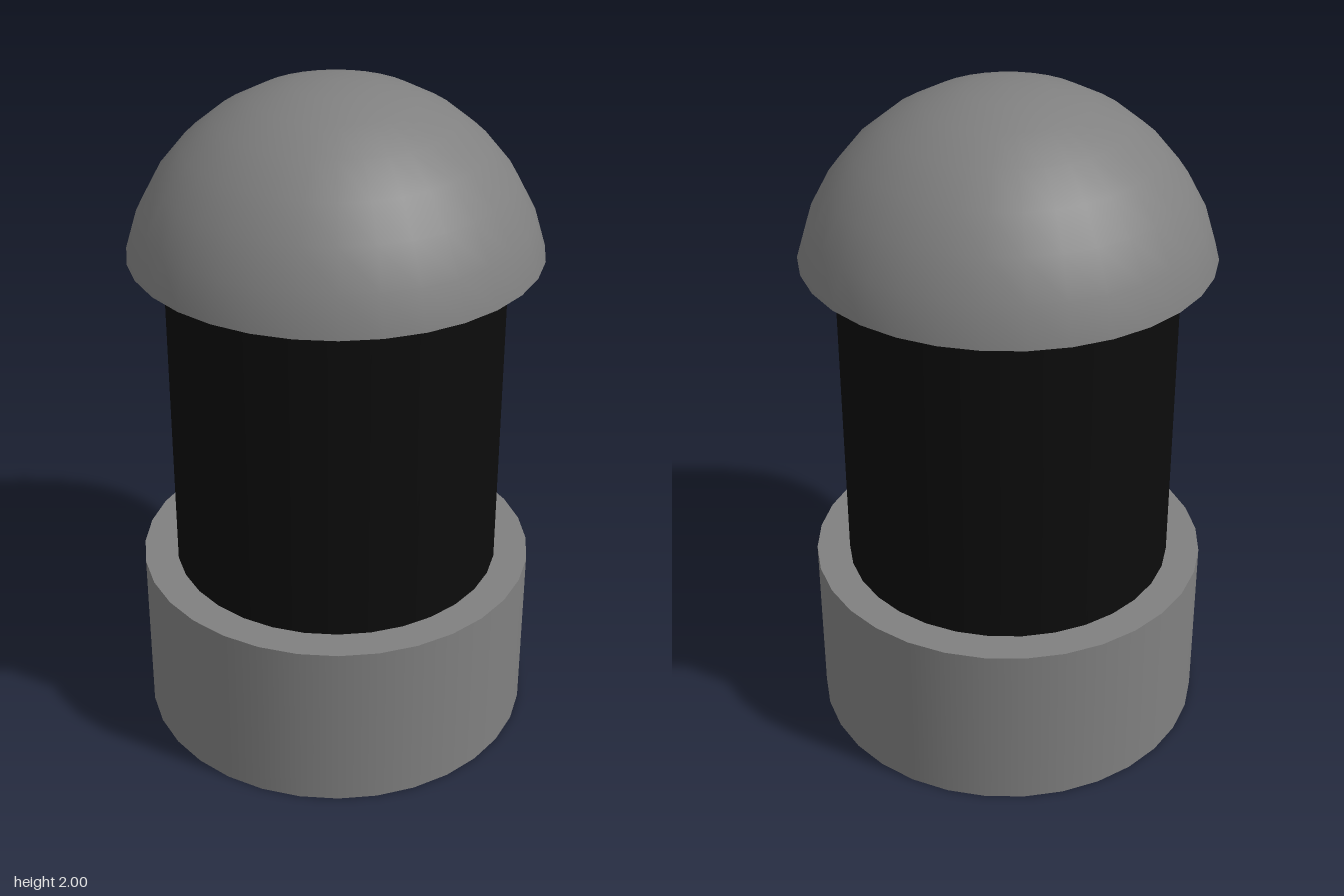
import * as THREE from 'three';

const SIDES = 32;
const R = 0.59; // base and dome rim radius

export function createModel() {
  const grey = new THREE.MeshStandardMaterial({ color: 0x808080 });
  grey.name = 'grey metal';
  const black = new THREE.MeshStandardMaterial({ color: 0x0c0c0c });
  black.name = 'black';

  const model = new THREE.Group();
  model.name = 'bollard';
  const add = (name, geometry, material, y) => {
    const mesh = new THREE.Mesh(geometry, material);
    mesh.name = name;
    mesh.position.y = y;
    model.add(mesh);
    return mesh;
  };

  // Wide foot
  add('base', new THREE.CylinderGeometry(R, R, 0.525, SIDES), grey, 0.2625);

  // Dark middle section between base and dome
  add('column', new THREE.CylinderGeometry(0.49, 0.49, 0.99, SIDES, 1, true), black, 1.02);

  // Dome: a sphere cut one ring above its equator
  const radius = 0.602;
  const cut = (Math.PI * 7) / 16;
  const centre = 2 - radius;
  add('dome', new THREE.SphereGeometry(radius, SIDES, 7, 0, Math.PI * 2, 0, cut), grey, centre);

  // Flat underside closing the dome
  const underside = new THREE.CircleGeometry(radius * Math.sin(cut), SIDES).rotateX(Math.PI / 2);
  add('domeUnderside', underside, grey, centre + radius * Math.cos(cut));

  return model;
}
